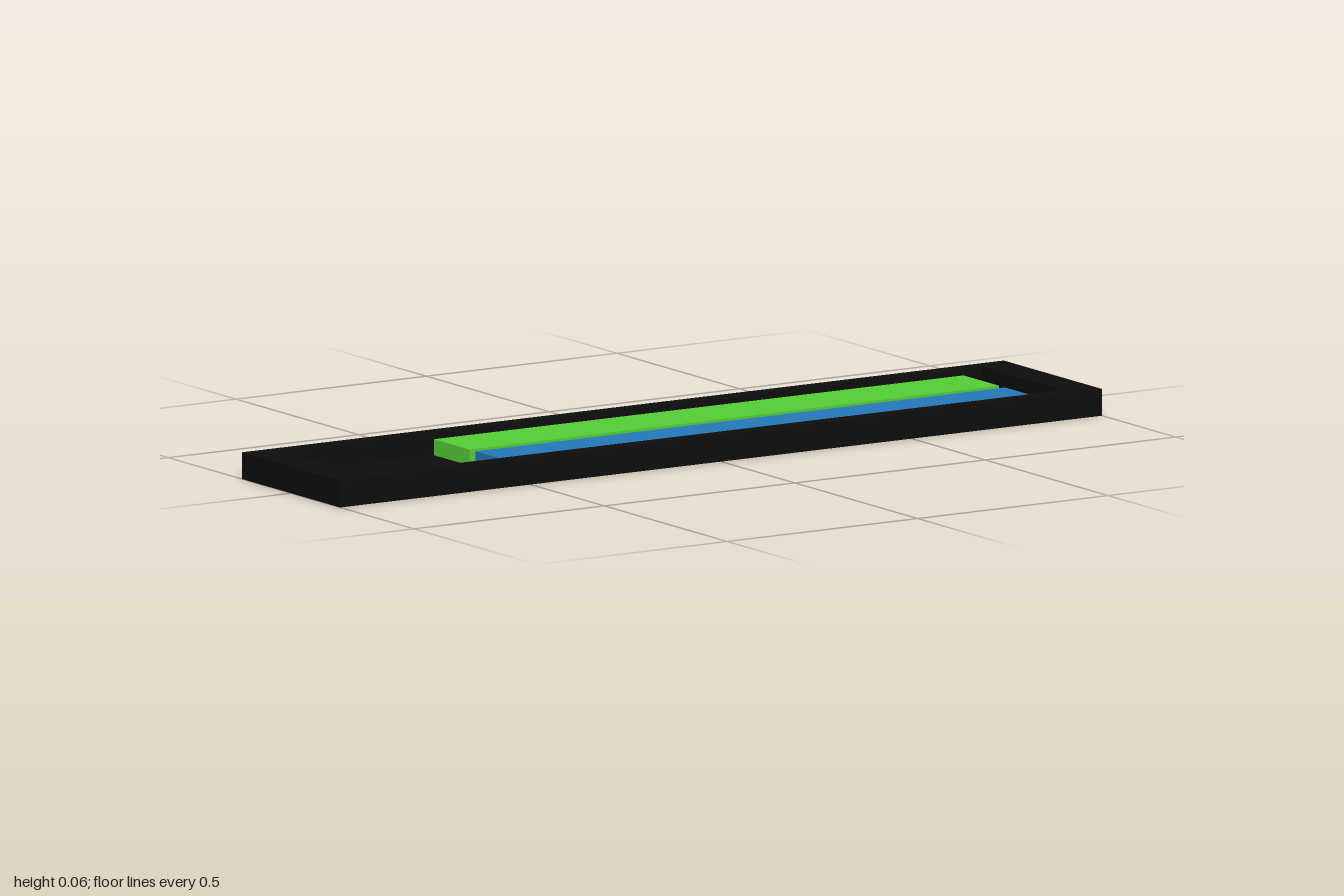
import * as THREE from 'three';

const LENGTH = 2, WIDTH = 0.4, HEIGHT = 0.06, FLOOR = 0.01;

function rectangle(PathType, w, d) {
  return new PathType([
    new THREE.Vector2(-w / 2, -d / 2), new THREE.Vector2(w / 2, -d / 2),
    new THREE.Vector2(w / 2, d / 2), new THREE.Vector2(-w / 2, d / 2),
  ]);
}

function addPart(parent, name, geometry, color, x, y, z) {
  const mesh = new THREE.Mesh(geometry, new THREE.MeshStandardMaterial({ color }));
  mesh.name = name;
  mesh.position.set(x, y, z);
  parent.add(mesh);
}

export function createModel() {
  const group = new THREE.Group();
  group.name = 'trayWithBars';

  // Shallow tray: a rectangular rim standing on a thin floor
  const rimShape = rectangle(THREE.Shape, LENGTH, WIDTH);
  rimShape.holes.push(rectangle(THREE.Path, 1.84, 0.33));
  const rim = new THREE.ExtrudeGeometry(rimShape, { depth: HEIGHT - FLOOR, bevelEnabled: false });
  rim.rotateX(-Math.PI / 2);
  addPart(group, 'trayRim', rim, 0x0d0d0d, 0, FLOOR, 0);
  addPart(group, 'trayFloor', new THREE.BoxGeometry(LENGTH, FLOOR, WIDTH), 0x0d0d0d, 0, FLOOR / 2, 0);

  // Two coloured bars lying side by side in the recess
  const barHeight = 0.036;
  const bars = [['greenBar', 0x55cc36, -0.09], ['blueBar', 0x2478b8, 0.08]];
  for (const [name, color, z] of bars) {
    const bar = new THREE.BoxGeometry(1.39, barHeight, 0.145);
    addPart(group, name, bar, color, 0.175, FLOOR + barHeight / 2, z);
  }
  return group;
}
